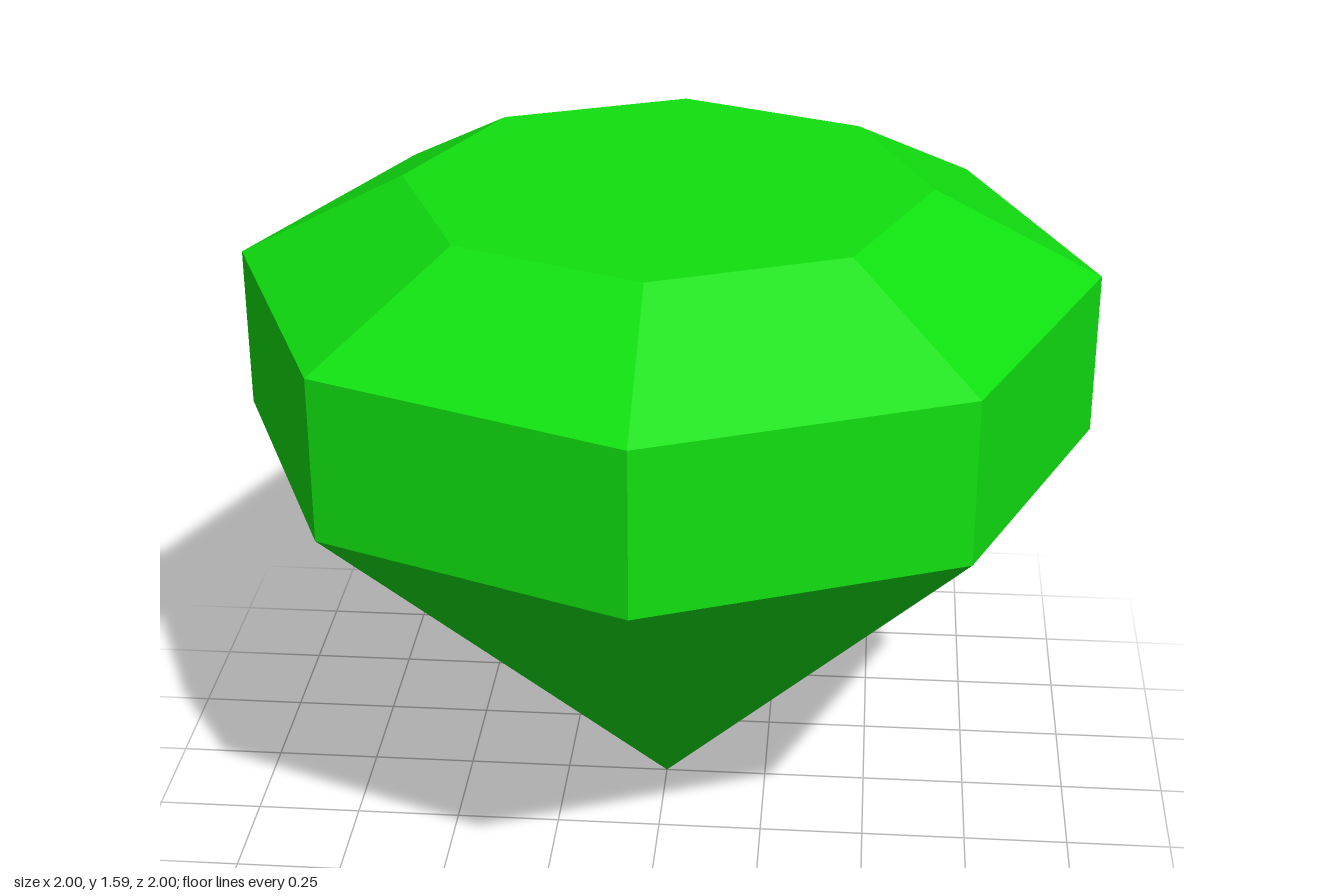
import * as THREE from 'three';

const SIDES = 8;

export function createModel() {
  const group = new THREE.Group();
  group.name = 'gem';

  const gemGreen = new THREE.MeshStandardMaterial({ color: 0x10e010, flatShading: true });
  gemGreen.name = 'gemGreen';

  // Open ring of facets between two heights
  const addFacets = (name, topRadius, bottomRadius, bottomY, topY) => {
    const geometry = new THREE.CylinderGeometry(topRadius, bottomRadius, topY - bottomY, SIDES, 1, true);
    const mesh = new THREE.Mesh(geometry, gemGreen);
    mesh.name = name;
    mesh.position.y = (bottomY + topY) / 2;
    group.add(mesh);
  };

  addFacets('pavilion', 1, 0, 0, 1);         // pointed lower half
  addFacets('girdle', 1, 1, 1, 1.385);       // upright band
  addFacets('crown', 0.61, 1, 1.385, 1.585); // sloping upper facets

  // Flat top facet
  const table = new THREE.Mesh(new THREE.CircleGeometry(0.61, SIDES), gemGreen);
  table.name = 'table';
  table.rotation.x = -Math.PI / 2;
  table.position.y = 1.585;
  group.add(table);

  return group;
}
